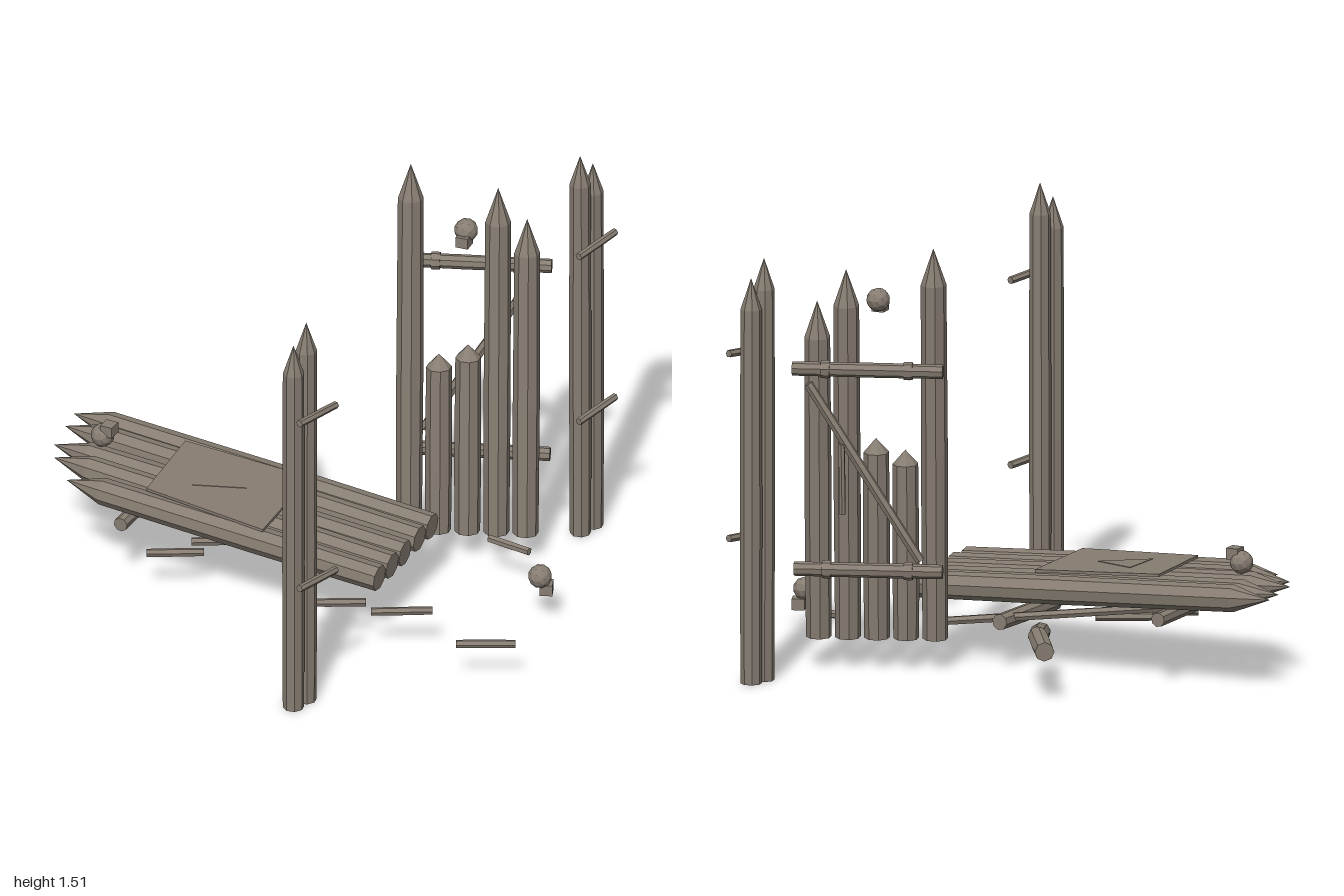
import * as THREE from 'three';

const wood = new THREE.MeshStandardMaterial({ color: 0x877d72, flatShading: true });
wood.name = 'weathered wood';

const V = (p) => new THREE.Vector3(...p);
const UP = new THREE.Vector3(0, 1, 0);

function add(parent, name, geometry) {
  const m = new THREE.Mesh(geometry, wood);
  m.name = name;
  parent.add(m);
  return m;
}

// Round log from a to b; the last `tip` units are sharpened to a point
function log(parent, name, a, b, r, tip = 0, sides = 8) {
  const A = V(a), B = V(b), len = A.distanceTo(B);
  const pts = [[0, 0], [r * 0.95, 0], [r, len * 0.4]];
  if (tip) pts.push([r * 0.95, len - tip], [0, len]);
  else pts.push([r * 0.95, len], [0, len]);
  const m = add(parent, name, new THREE.LatheGeometry(pts.map((p) => new THREE.Vector2(...p)), sides));
  m.position.copy(A);
  m.quaternion.setFromUnitVectors(UP, B.sub(A).normalize());
  return m;
}

// Faceted round head with a small block jaw
function skull(parent, name, p, jaw, turn) {
  const g = new THREE.Group();
  g.name = name;
  add(g, 'cranium', new THREE.IcosahedronGeometry(0.042, 1));
  const j = add(g, 'jaw', new THREE.BoxGeometry(0.05, 0.04, 0.045));
  j.position.set(...jaw);
  j.rotation.y = turn;
  g.position.set(...p);
  parent.add(g);
}

const lerp = (a, b, t) => a.map((v, i) => v + (b[i] - v) * t);

export function createModel() {
  const root = new THREE.Group();
  root.name = 'brokenGate';

  // Gate posts: a pair of stakes on each side with two lashing pegs
  for (const s of [-1, 1]) {
    const g = new THREE.Group();
    g.name = s > 0 ? 'leftPosts' : 'rightPosts';
    log(g, 'outerStake', [s * 0.82, 0, 0.505], [s * 0.82, 1.435, 0.505], 0.039, 0.11);
    log(g, 'innerStake', [s * 0.752, 0, 0.505], [s * 0.75, 1.495, 0.505], 0.039, 0.11);
    for (const y of [0.505, 1.16])
      log(g, 'peg', [s * 0.865, y + 0.006, 0.568], [s * 0.665, y - 0.006, 0.568], 0.014, 0, 6);
    root.add(g);
  }

  // Standing gate leaf, leaning back off its hinges
  const leaf = new THREE.Group();
  leaf.name = 'standingLeaf';
  const tops = [1.51, 0.785, 0.825, 1.43, 1.315];
  tops.forEach((top, i) => {
    const x = 0.25 + i * 0.0575, z = 0.15 + i * 0.083, k = (top - 0.11) / 1.4;
    log(leaf, 'leafLog', [x, 0.11, z], [x + 0.068 * k, top, z - 0.047 * k], 0.047, top < 1 ? 0.05 : 0.13);
  });
  const bars = [
    [[0.32, 0.37, 0.06], [0.605, 0.37, 0.49]],
    [[0.355, 1.09, 0.03], [0.645, 1.09, 0.465]],
  ];
  for (const [a, b] of bars) {
    log(leaf, 'crossBar', a, b, 0.026);
    for (const t of [0.2, 0.75]) log(leaf, 'lashing', lerp(a, b, t), lerp(a, b, t + 0.06), 0.032);
  }
  log(leaf, 'diagonalBrace', [0.405, 0.42, 0.09], [0.625, 1.04, 0.41], 0.018, 0, 6);
  log(leaf, 'hangingSplinter', [0.56, 0.58, 0.31], [0.565, 0.83, 0.31], 0.012, 0, 6);
  root.add(leaf);

  // Fallen gate leaf
  const fallen = new THREE.Group();
  fallen.name = 'fallenLeaf';
  const bases = [[-0.275, 0.445], [-0.18, 0.425], [-0.085, 0.405], [0.025, 0.38], [0.118, 0.36]];
  const tips = [[-0.53, -0.74], [-0.445, -0.865], [-0.378, -0.92], [-0.255, -0.97], [-0.17, -1]];
  bases.forEach(([x, z], i) => {
    const [tx, tz] = tips[i];
    log(fallen, 'fallenLog', [x, 0.25, z], [tx, 0.25 + 0.065 * (z - tz), tz], 0.05, 0.14);
  });
  log(fallen, 'fallenBar', [-0.53, 0.235, -0.5], [-0.035, 0.235, -0.61], 0.027);
  log(fallen, 'looseBar', [-0.28, 0.16, 0.05], [0.12, 0.17, -0.03], 0.03);
  log(fallen, 'fallenBrace', [0.19, 0.155, 0.18], [-0.3, 0.225, -0.53], 0.016, 0, 6);
  root.add(fallen);

  // Board nailed over the fallen logs, with a thin triangular panel on it
  const sheet = (name, pts, y, depth) => {
    const shape = new THREE.Shape(pts.map(([x, z]) => new THREE.Vector2(x, -z)));
    const geo = new THREE.ExtrudeGeometry(shape, { depth, bevelEnabled: false });
    geo.rotateX(-Math.PI / 2);
    const p = geo.attributes.position;
    for (let i = 0; i < p.count; i++) p.setY(i, p.getY(i) + y - 0.065 * p.getZ(i));
    geo.computeVertexNormals();
    add(fallen, name, geo);
  };
  sheet('board', [[-0.385, 0.015], [-0.005, -0.085], [-0.12, -0.545], [-0.455, -0.445]], 0.327, 0.01);
  sheet('trianglePanel', [[-0.215, -0.195], [-0.17, -0.375], [-0.33, -0.345]], 0.336, 0.003);

  // Bent log lying behind the leaf
  const bend = [[0.095, 0.155, -0.195], [0.27, 0.19, -0.325], [0.41, 0.18, -0.47]];
  log(root, 'bentLogNear', bend[0], bend[1], 0.036);
  log(root, 'bentLogFar', bend[1], bend[2], 0.036);
  const knee = add(root, 'bentLogKnee', new THREE.IcosahedronGeometry(0.034, 1));
  knee.position.set(...bend[1]);

  // Scattered splinters
  const splinters = [
    [-0.43, 0.25, -0.3, 0.405], [-0.34, 0.46, -0.2, 0.62], [-0.33, 0.83, -0.2, 0.99],
    [0.315, 0.455, 0.33, 0.62], [-0.51, -0.4, -0.38, -0.25], [-0.35, -0.33, -0.22, -0.18],
  ];
  for (const [x, z, x2, z2] of splinters)
    log(root, 'splinter', [x, 0.15, z], [x2, 0.15, z2], 0.015, 0, 6);

  // Skulls: one on the ground, one upturned on the logs, one on the standing leaf
  skull(root, 'groundSkull', [0.18, 0.18, 0.79], [0.02, -0.05, 0.012], 0.6);
  skull(root, 'upturnedSkull', [-0.32, 0.41, -0.75], [0.005, 0.03, 0.025], 0.2);
  skull(root, 'hangingSkull', [0.36, 1.305, 0.315], [-0.025, -0.025, 0.012], 0.3);

  return root;
}
